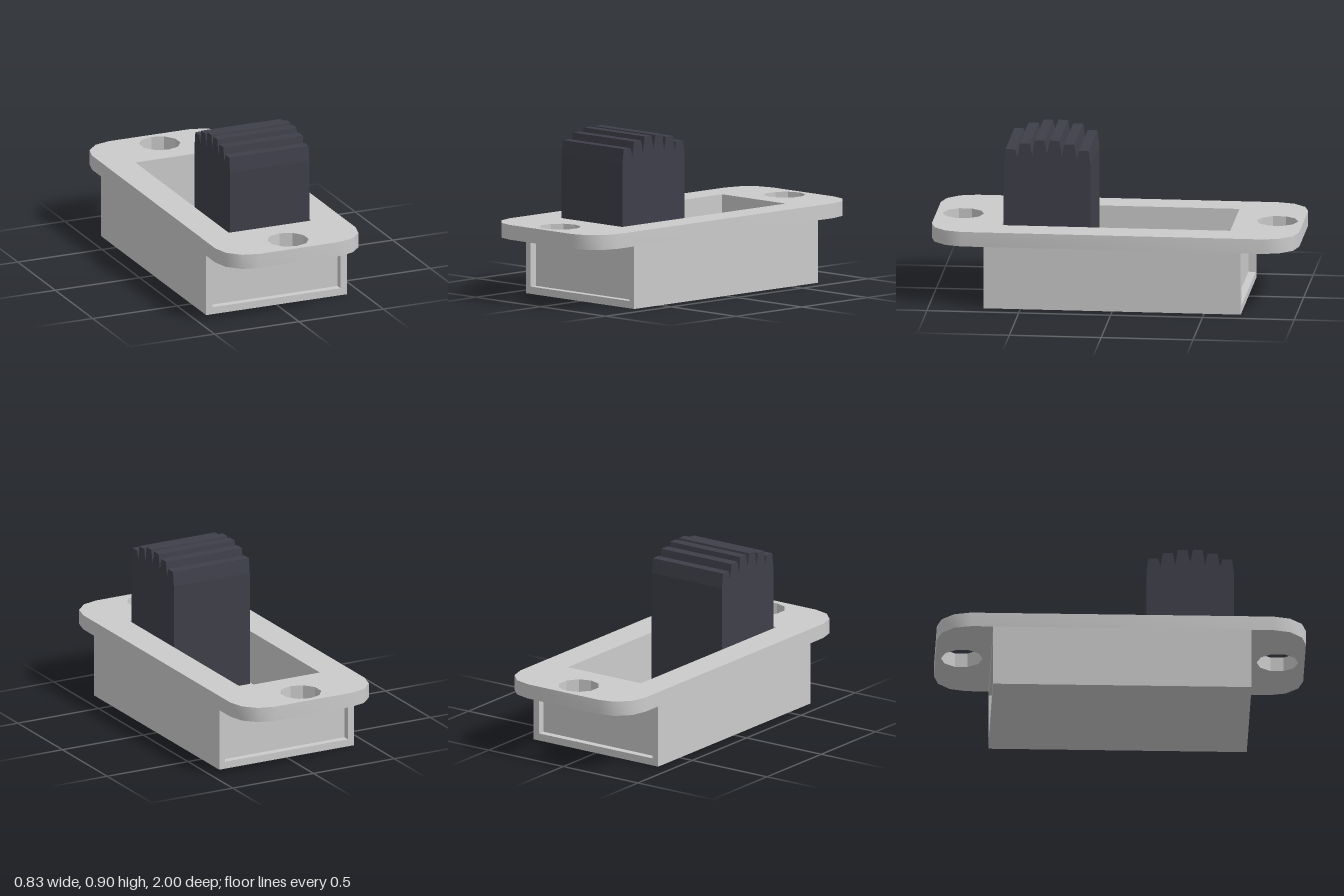
import * as THREE from 'three';
import { toCreasedNormals } from 'three/addons/utils/BufferGeometryUtils.js';

const W = 0.417;        // half width of body and plate
const BODY_TOP = 0.342; // underside of the plate
const PLATE_TOP = 0.423;
const FLOOR = 0.128;    // floor inside the slot
const BODY_END = 0.7;   // half length of the body
const RECESS = 0.04;    // depth of the panels sunk into the ends

const rect = (x0, y0, x1, y1) => [[x0, y0], [x1, y0], [x1, y1], [x0, y1]].map(p => new THREE.Vector2(...p));

// Points on a circular arc
function arc(cx, cy, r, start, sweep, segments) {
  return Array.from({ length: segments + 1 }, (_, i) => {
    const a = start + sweep * i / segments;
    return new THREE.Vector2(cx + r * Math.cos(a), cy + r * Math.sin(a));
  });
}

function extrude(outline, holes, depth) {
  const shape = new THREE.Shape(outline);
  shape.holes = holes.map(h => new THREE.Path(h));
  return new THREE.ExtrudeGeometry(shape, { depth, bevelEnabled: false });
}

// Extrude upward from y0 to y1; shape y becomes -z
function extrudeUp(outline, holes, y0, y1) {
  return extrude(outline, holes, y1 - y0).rotateX(-Math.PI / 2).translate(0, y0, 0);
}

export function createModel() {
  const model = new THREE.Group();
  model.name = 'slideSwitch';
  const grey = new THREE.MeshStandardMaterial({ color: 0xcccccc });
  const dark = new THREE.MeshStandardMaterial({ color: 0x3f3f4a });

  function add(name, geometry, material = grey) {
    const mesh = new THREE.Mesh(geometry, material);
    mesh.name = name;
    model.add(mesh);
  }

  const slot = rect(-0.247, -0.62, 0.243, 0.625);

  // Mounting plate: rounded corners, slider slot and two ten-sided screw holes
  const r = 0.18;
  const outline = [[1, 1], [-1, 1], [-1, -1], [1, -1]].flatMap(([sx, sy], i) =>
    arc(sx * (W - r), sy * (1 - r), r, i * Math.PI / 2, Math.PI / 2, 3));
  const screwHoles = [0.857, -0.853].map(y => arc(0, y, 0.113, Math.PI / 2, Math.PI * 2, 10).slice(0, 10));
  add('mountingPlate', toCreasedNormals(extrudeUp(outline, [slot, ...screwHoles], BODY_TOP, PLATE_TOP), 0.6));

  // Body walls around the slot
  const inner = BODY_END - RECESS;
  add('bodyWalls', extrudeUp(rect(-W, -inner, W, inner), [slot], 0, BODY_TOP));

  // Slot floor
  add('slotFloor', extrudeUp(slot, [], 0, FLOOR));

  // Rims framing the recessed end panels
  for (const [name, z] of [['frontEndRim', inner], ['backEndRim', -BODY_END]]) {
    const rim = extrude(rect(-W, 0, W, BODY_TOP), [rect(-0.38, 0.04, 0.38, 0.302)], RECESS);
    add(name, rim.translate(0, 0, z));
  }

  // Slider knob: ridged profile, mirrored about its middle
  const half = [[0.237, FLOOR], [0.237, 0.765], [0.226, 0.846], [0.174, 0.846], [0.161, 0.8],
    [0.148, 0.88], [0.094, 0.88], [0.081, 0.81], [0.067, 0.899], [0.015, 0.899]];
  const profile = [...half, [0, 0.826], ...half.map(([z, y]) => [-z, y]).reverse()]
    .map(([z, y]) => new THREE.Vector2(z + 0.373, y));
  add('sliderKnob', extrude(profile, [], 0.47).rotateY(-Math.PI / 2).translate(0.235, 0, 0), dark);

  return model;
}
